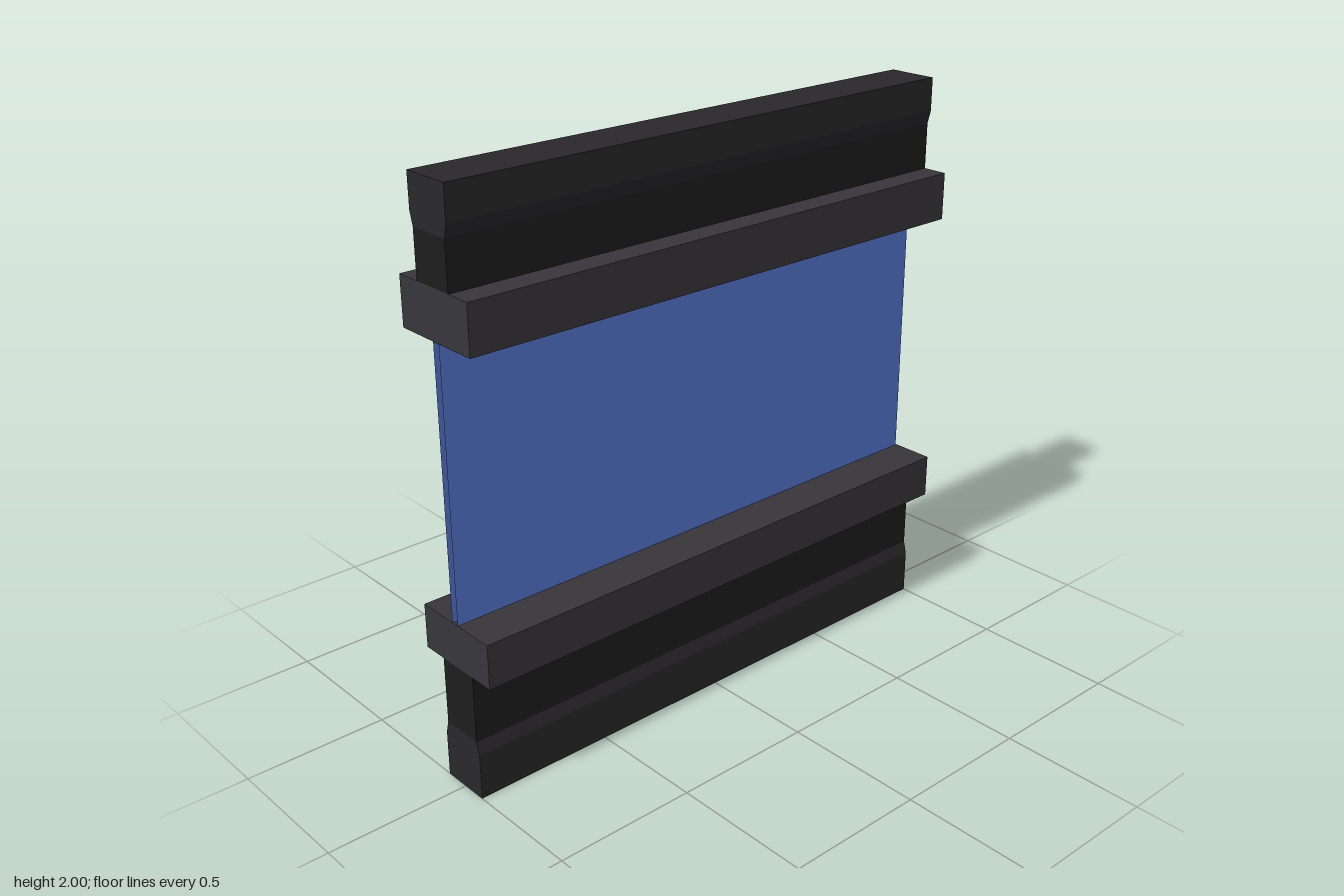
import * as THREE from 'three';

const mat = (color, side = THREE.FrontSide) =>
  new THREE.MeshStandardMaterial({ color, side, flatShading: true });

export function createModel() {
  const group = new THREE.Group();
  const LENGTH = 2;
  const capMat = mat(0x2a282b);
  const webMat = mat(0x1e1e1e);
  const railMat = mat(0x38363b);
  const glassMat = mat(0x5878d4, THREE.DoubleSide);

  const add = (name, geometry, material) => {
    const mesh = new THREE.Mesh(geometry, material);
    mesh.name = name;
    group.add(mesh);
    return mesh;
  };

  // Full-length bar with a symmetric cross-section of [halfDepth, y] points, bottom to top
  const bar = (name, profile, material) => {
    const right = profile.map(([d, y]) => new THREE.Vector2(d, y));
    const left = profile.map(([d, y]) => new THREE.Vector2(-d, y)).reverse();
    const geometry = new THREE.ExtrudeGeometry(new THREE.Shape([...right, ...left]), {
      depth: LENGTH, bevelEnabled: false,
    });
    geometry.translate(0, 0, -LENGTH / 2).rotateY(Math.PI / 2);
    return add(name, geometry, material);
  };

  // Lower beam: foot tapering into a web, topped by a wide rail
  bar('lowerBeam', [[0.09, 0], [0.09, 0.16], [0.078, 0.205]], capMat);
  bar('lowerWeb', [[0.078, 0.205], [0.078, 0.44]], webMat);
  bar('lowerRail', [[0.168, 0.44], [0.168, 0.595]], railMat);

  // Upper beam: wide rail, web and flared head
  bar('upperRail', [[0.168, 1.515], [0.168, 1.68]], railMat);
  bar('upperWeb', [[0.078, 1.68], [0.078, 1.84]], webMat);
  bar('upperBeam', [[0.078, 1.84], [0.09, 1.885], [0.09, 2]], capMat);

  // Two thin glass sheets, open at the ends
  for (const [name, side] of [['frontPane', 1], ['backPane', -1]]) {
    const pane = add(name, new THREE.PlaneGeometry(1.995, 0.92), glassMat);
    pane.position.set(-0.0025, 1.055, side * 0.014);
    if (side < 0) pane.rotation.y = Math.PI;
  }

  return group;
}
